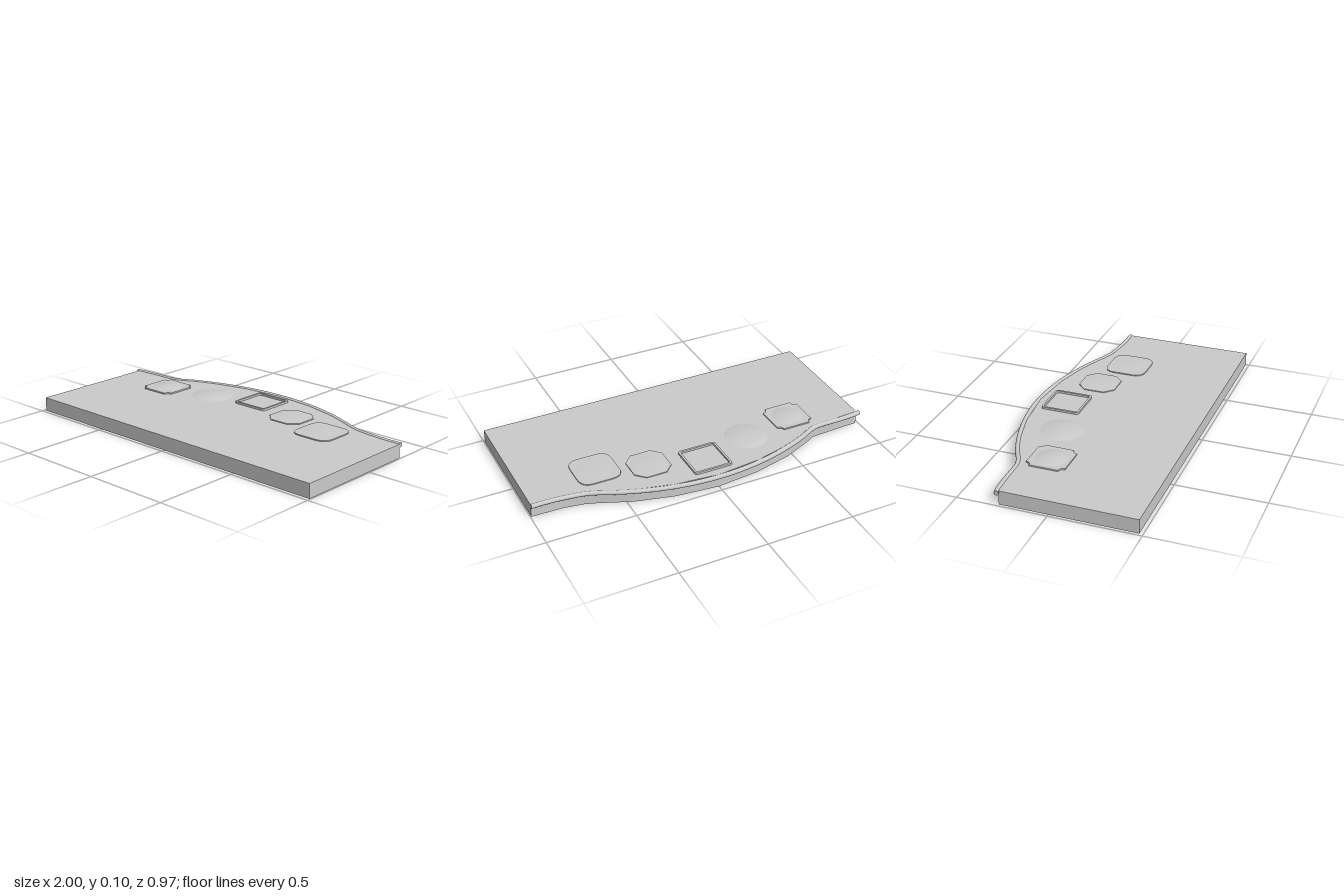
import * as THREE from 'three';

const TOP = 0.08;

export function createModel() {
  const group = new THREE.Group();
  const mat = new THREE.MeshStandardMaterial({ color: 0xcccccc, side: THREE.DoubleSide });

  const add = (name, geometry, x = 0, y = 0, z = 0) => {
    const mesh = new THREE.Mesh(geometry, mat);
    mesh.name = name;
    mesh.position.set(x, y, z);
    group.add(mesh);
    return mesh;
  };
  // Extrude a plan outline (shape y points to the back) upwards
  const slab = (shape, height, curveSegments = 8) =>
    new THREE.ExtrudeGeometry(shape, { depth: height, bevelEnabled: false, curveSegments }).rotateX(-Math.PI / 2);

  // Square outline with corners cut as 'notch' (scooped), 'round' or 'chamfer'
  const square = (h, r, corner, Type = THREE.Shape) => {
    const s = new Type();
    for (let i = 0; i < 4; i++) {
      const a = i * Math.PI / 2, c = Math.cos(a), d = Math.sin(a);
      const at = (x, y) => [x * c - y * d, x * d + y * c];
      if (i === 0) s.moveTo(...at(h, h - r));
      else s.lineTo(...at(h, h - r));
      if (corner === 'chamfer') s.lineTo(...at(h - r, h));
      else if (corner === 'round') s.quadraticCurveTo(...at(h, h), ...at(h - r, h));
      else s.quadraticCurveTo(...at(h - r, h - r), ...at(h - r, h));
    }
    s.closePath();
    return s;
  };

  // Shallow spherical cap
  const dome = (radius, height) => {
    const pts = [];
    for (let i = 0; i <= 10; i++) {
      const t = i / 10;
      pts.push(new THREE.Vector2(radius * (1 - t), height * (1 - (1 - t) ** 2)));
    }
    return new THREE.LatheGeometry(pts, 40);
  };

  // Counter slab: straight front and sides, faceted bowed back
  const back = [[0.995, 0.27], [0.82, 0.274], [0.71, 0.292], [0.64, 0.315], [0.47, 0.385], [0.25, 0.44],
    [0, 0.465], [-0.25, 0.44], [-0.47, 0.385], [-0.64, 0.312], [-0.69, 0.285], [-0.985, 0.27]];
  const plan = [[-0.985, -0.48], [0.995, -0.48], ...back].map(p => new THREE.Vector2(...p));
  add('counterSlab', slab(new THREE.Shape(plan), TOP));

  // Rounded lip following the back edge
  const lipPath = [[-0.998, -0.275], [-0.97, -0.282], [-0.87, -0.289], [-0.71, -0.292], [-0.66, -0.307]];
  for (let i = -5; i <= 5; i++) {
    const x = i * 0.115;
    lipPath.push([x, -0.475 + 0.375 * x * x]);
  }
  lipPath.push([0.65, -0.318], [0.70, -0.301], [0.82, -0.283], [0.92, -0.277], [0.995, -0.278]);
  const curve = new THREE.CatmullRomCurve3(lipPath.map(([x, z]) => new THREE.Vector3(x, 0.073, z)), false, 'centripetal');
  add('backLip', new THREE.TubeGeometry(curve, 110, 0.013, 14));
  for (const t of [0, 1]) {
    const p = curve.getPoint(t);
    const cap = add('lipEnd', new THREE.CircleGeometry(0.013, 14), p.x, p.y, p.z);
    cap.rotation.y = t ? Math.PI / 2 : -Math.PI / 2;
  }

  // Raised plates and domes set along the back
  const pads = [
    { x: -0.6, z: -0.143, half: 0.11, r: 0.028, corner: 'notch', plate: 0.008, radius: 0.088, rise: 0.01 },
    { x: -0.297, z: -0.21, radius: 0.122, rise: 0.013 },
    { x: 0.302, z: -0.217, half: 0.109, r: 0.05, corner: 'chamfer', plate: 0.005, radius: 0.1, rise: 0.004 },
    { x: 0.58, z: -0.134, half: 0.121, r: 0.07, corner: 'round', plate: 0.006, radius: 0.1, rise: 0.003 },
  ];
  for (const p of pads) {
    if (p.half) add('padPlate', slab(square(p.half, p.r, p.corner), p.plate), p.x, TOP, p.z);
    add('padDome', dome(p.radius, p.rise), p.x, TOP + (p.plate || 0), p.z);
  }

  // Thin raised square frame in the middle
  const frame = square(0.112, 0.018, 'round');
  frame.holes.push(square(0.1, 0.012, 'round', THREE.Path));
  add('squareFrame', slab(frame, 0.012), 0.005, TOP, -0.306);

  return group;
}
